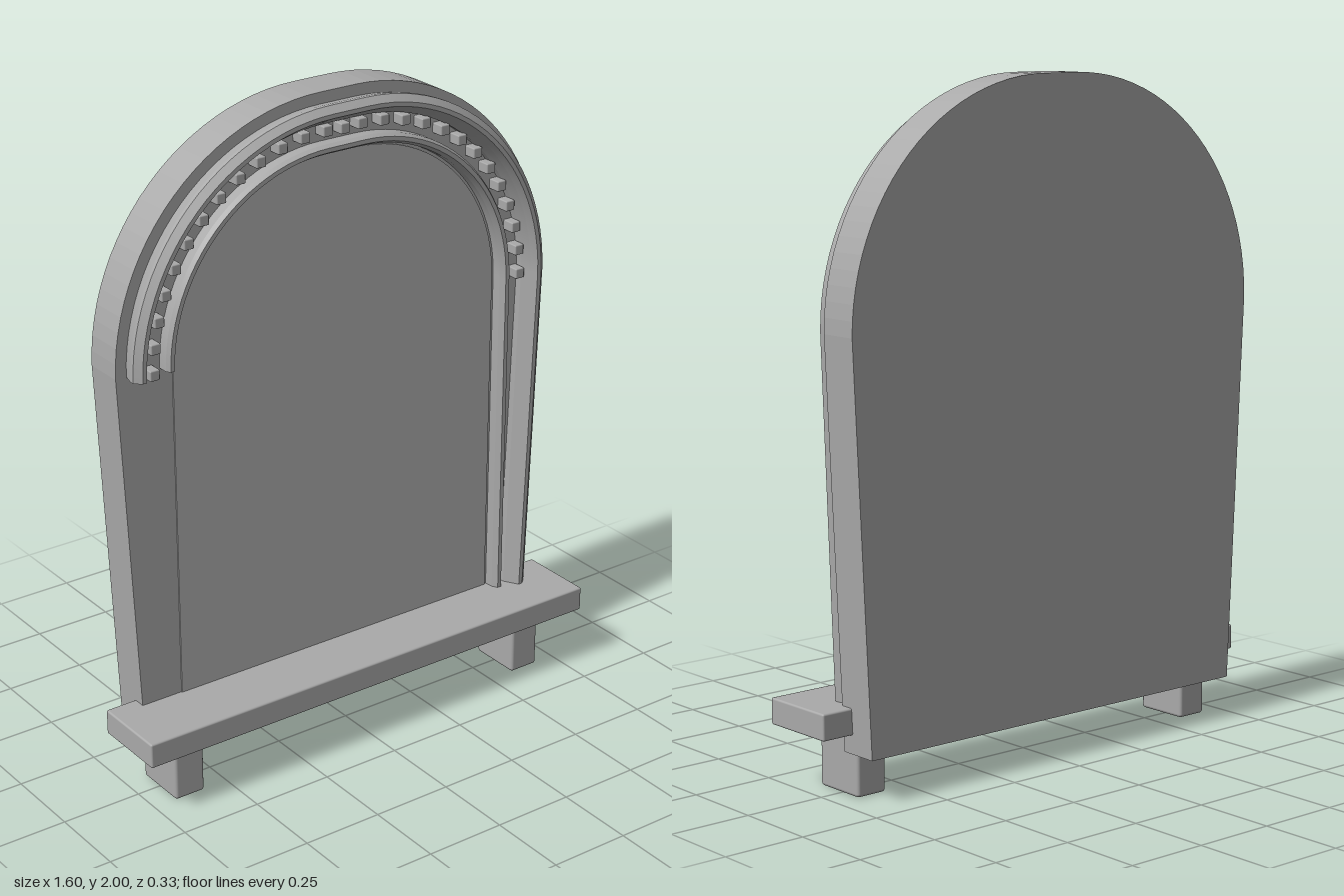
import * as THREE from 'three';
import { RoundedBoxGeometry } from 'three/addons/geometries/RoundedBoxGeometry.js';

const SPRING = 1.31; // height where the arch begins
const SPREAD = 0.06; // the two quarter arcs are centred at x = +-SPREAD
const STEPS = 24;

// Arch of two quarter arcs, from the left springing over the top to the right
function archPoints(r) {
  const points = [];
  for (const side of [-1, 1]) {
    for (let i = 0; i <= STEPS; i++) {
      const t = (i / STEPS) * Math.PI / 2;
      const a = side < 0 ? Math.PI - t : Math.PI / 2 - t;
      points.push(new THREE.Vector2(side * SPREAD + r * Math.cos(a), SPRING + r * Math.sin(a)));
    }
  }
  return points;
}

// Solid arched plate with tapering sides
function archPlate(r, bottomHalf, bottomY, depth) {
  const shape = new THREE.Shape([
    new THREE.Vector2(-bottomHalf, bottomY),
    ...archPoints(r),
    new THREE.Vector2(bottomHalf, bottomY),
  ]);
  return new THREE.ExtrudeGeometry(shape, { depth, bevelEnabled: false });
}

// Moulding: a closed profile of [radius, z] follows the arch, then runs down the right jamb
function moulding(profile, taper) {
  const rails = profile.map(([r, z]) => {
    const rail = archPoints(r).map((p) => [p.x, p.y, z]);
    rail.push([SPREAD + r - taper, 0.19, z]);
    return rail;
  });
  const position = [];
  const index = [];
  rails.forEach((rail, j) => {
    const next = rails[(j + 1) % rails.length];
    const base = position.length / 3;
    rail.forEach((p, i) => {
      position.push(...p, ...next[i]);
      if (i === 0) return;
      const a = base + 2 * (i - 1);
      index.push(a, a + 1, a + 2, a + 2, a + 1, a + 3);
    });
  });
  // end caps
  const last = rails[0].length - 1;
  for (const end of [0, last]) {
    const base = position.length / 3;
    rails.forEach((rail) => position.push(...rail[end]));
    for (let k = 1; k < rails.length - 1; k++) {
      if (end === 0) index.push(base, base + k + 1, base + k);
      else index.push(base, base + k, base + k + 1);
    }
  }
  const geometry = new THREE.BufferGeometry();
  geometry.setAttribute('position', new THREE.Float32BufferAttribute(position, 3));
  geometry.setIndex(index);
  geometry.computeVertexNormals();
  return geometry;
}

export function createModel() {
  const model = new THREE.Group();
  const stone = new THREE.MeshStandardMaterial({ color: 0xaaaaaa, side: THREE.DoubleSide });
  stone.name = 'stone grey';
  const pane = new THREE.MeshStandardMaterial({ color: 0xb2b2b2 });
  pane.name = 'pane grey';

  const add = (name, geometry, material, x = 0, y = 0, z = 0) => {
    const mesh = new THREE.Mesh(geometry, material);
    mesh.name = name;
    mesh.position.set(x, y, z);
    model.add(mesh);
    return mesh;
  };

  // Arched body and the thin pane on its face
  add('archedBody', archPlate(0.69, 0.695, 0.13, 0.125), stone, 0, 0, -0.163);
  add('pane', archPlate(0.507, 0.567, 0.19, 0.006), pane, 0, 0, -0.04);

  // Outer and inner mouldings
  add('outerMoulding', moulding([
    [0.655, -0.04], [0.665, 0.0], [0.665, 0.012], [0.645, 0.03],
    [0.632, 0.03], [0.62, 0.01], [0.605, -0.015], [0.605, -0.04],
  ], 0.04), stone);
  add('innerMoulding', moulding([
    [0.548, -0.04], [0.548, -0.005], [0.54, 0.008],
    [0.527, 0.008], [0.517, -0.01], [0.515, -0.04],
  ], 0), stone);

  // Row of small blocks between the mouldings
  const dentils = new THREE.Group();
  dentils.name = 'dentils';
  const block = new RoundedBoxGeometry(0.032, 0.032, 0.045, 1, 0.004);
  const addBlock = (x, y) => {
    const mesh = new THREE.Mesh(block, stone);
    mesh.name = 'dentil';
    mesh.position.set(x, y, -0.02);
    dentils.add(mesh);
  };
  const count = 12;
  for (let i = 0; i <= count; i++) {
    const a = (i / count) * Math.PI / 2;
    for (const side of [-1, 1]) {
      addBlock(side * (SPREAD + 0.587 * Math.cos(a)), SPRING + 0.587 * Math.sin(a));
    }
  }
  addBlock(0, SPRING + 0.584);
  model.add(dentils);

  // Sill, the ledges beneath it, and two feet
  add('sill', new RoundedBoxGeometry(1.6, 0.078, 0.243, 2, 0.006), stone, 0, 0.225, 0.0415);
  add('upperLedge', new THREE.BoxGeometry(1.3, 0.03, 0.03), stone, 0, 0.177, -0.028);
  add('lowerLedge', new THREE.BoxGeometry(1.3, 0.018, 0.012), stone, 0, 0.15, -0.034);
  for (const side of [-1, 1]) {
    add(side > 0 ? 'leftFoot' : 'rightFoot',
      new RoundedBoxGeometry(0.1, 0.19, 0.172, 2, 0.01), stone, side * 0.63, 0.095, 0.009);
  }
  return model;
}
